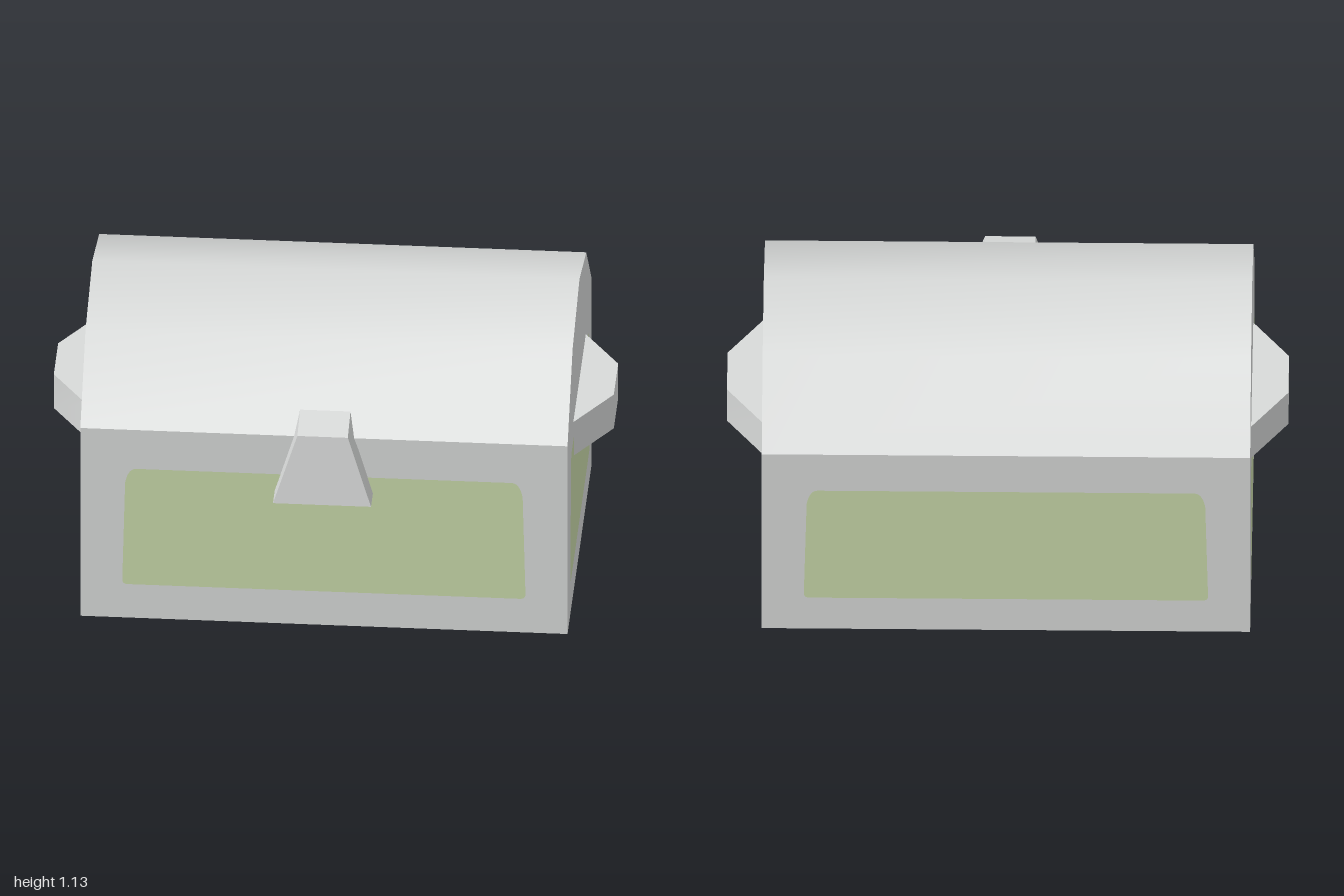
import * as THREE from 'three';
import { toCreasedNormals } from 'three/addons/utils/BufferGeometryUtils.js';

const gray = new THREE.MeshStandardMaterial({ color: 0xd8dad9 });
gray.name = 'pale gray';
const green = new THREE.MeshStandardMaterial({ color: 0xc9d9aa });
green.name = 'soft green';

function part(name, geometry, material) {
  const mesh = new THREE.Mesh(geometry, material);
  mesh.name = name;
  return mesh;
}

// Flat-faced geometry from corner points and polygons wound outward
function polyhedron(points, faces) {
  const pos = [];
  for (const f of faces)
    for (let i = 1; i < f.length - 1; i++) pos.push(...points[f[0]], ...points[f[i]], ...points[f[i + 1]]);
  const g = new THREE.BufferGeometry();
  g.setAttribute('position', new THREE.Float32BufferAttribute(pos, 3));
  g.computeVertexNormals();
  return g;
}

// Slightly tapered panel with soft corners, centred on x = 0
function panelGeometry(bottomHalf, topHalf, y0, y1) {
  const s = new THREE.Shape();
  const r = 0.02, t = 0.03;
  s.moveTo(-bottomHalf + r, y0);
  s.lineTo(bottomHalf - r, y0);
  s.quadraticCurveTo(bottomHalf, y0, bottomHalf, y0 + r);
  s.lineTo(topHalf + 0.01, y1 - 2 * t);
  s.quadraticCurveTo(topHalf, y1, topHalf - t, y1);
  s.lineTo(-topHalf + t, y1);
  s.quadraticCurveTo(-topHalf, y1, -topHalf - 0.01, y1 - 2 * t);
  s.lineTo(-bottomHalf, y0 + r);
  s.quadraticCurveTo(-bottomHalf, y0, -bottomHalf + r, y0);
  return new THREE.ShapeGeometry(s);
}

export function createModel() {
  const group = new THREE.Group();
  group.name = 'chest';
  const halfW = 0.87, front = 0.54, back = -0.63, midZ = -0.045, lift = 0.002;

  // Box and arched lid as one profile swept along x (shape x becomes -z)
  const profile = [[front, 0], [back, 0], [back, 0.78], [-0.38, 1.035], [midZ, 1.125], [0.29, 1.035], [front, 0.78]];
  const shape = new THREE.Shape(profile.map(([z, y]) => new THREE.Vector2(-z, y)));
  let body = new THREE.ExtrudeGeometry(shape, { depth: halfW * 2, bevelEnabled: false });
  body.translate(0, 0, -halfW).rotateY(Math.PI / 2);
  body = toCreasedNormals(body, 0.7);
  group.add(part('chestBody', body, gray));

  // Painted panels on the walls
  const longPanel = panelGeometry(0.72, 0.7, 0.14, 0.62);
  const frontPanel = part('frontPanel', longPanel, green);
  frontPanel.position.z = front + lift;
  const backPanel = part('backPanel', longPanel, green);
  backPanel.rotation.y = Math.PI;
  backPanel.position.z = back - lift;
  group.add(frontPanel, backPanel);

  const sidePanel = panelGeometry(0.463, 0.438, 0.14, 0.65);
  for (const side of [1, -1]) {
    const panel = part(side > 0 ? 'leftPanel' : 'rightPanel', sidePanel, green);
    panel.rotation.y = side * Math.PI / 2;
    panel.position.set(side * (halfW + lift), 0, midZ);
    group.add(panel);
  }

  // Painted underside
  const base = new THREE.PlaneGeometry(1.42, front - back);
  base.rotateX(Math.PI / 2).translate(0.02, -lift, midZ);
  group.add(part('bottomPanel', base, green));

  // Side handles: bent bands with a top, open below
  const bend = [[halfW, 0.255], [1, 0.055], [1, -0.16], [halfW, -0.355]];
  const corners = [...bend.map(([x, z]) => [x, 0.57, z]), ...bend.map(([x, z]) => [x, 0.71, z])];
  const band = toCreasedNormals(
    polyhedron(corners, [[0, 1, 5, 4], [1, 2, 6, 5], [2, 3, 7, 6], [4, 5, 6, 7]]), 1.1);
  for (const side of [1, -1]) {
    const g = band.clone();
    // Half turn about the handle centre keeps the winding outward
    if (side < 0) g.translate(0, 0, 0.05).rotateY(Math.PI).translate(0, 0, -0.05);
    group.add(part(side > 0 ? 'leftHandle' : 'rightHandle', g, gray));
  }

  // Tapered front latch
  const latch = polyhedron([
    [-0.175, 0.555, 0.635], [0.175, 0.555, 0.635], [0.09, 0.82, 0.605], [-0.09, 0.82, 0.605],
    [-0.175, 0.555, 0.53], [0.175, 0.555, 0.53], [0.09, 0.85, 0.47], [-0.09, 0.85, 0.47],
  ], [[0, 1, 2, 3], [1, 5, 6, 2], [4, 0, 3, 7], [3, 2, 6, 7], [4, 5, 1, 0]]);
  group.add(part('latch', latch, gray));

  return group;
}
